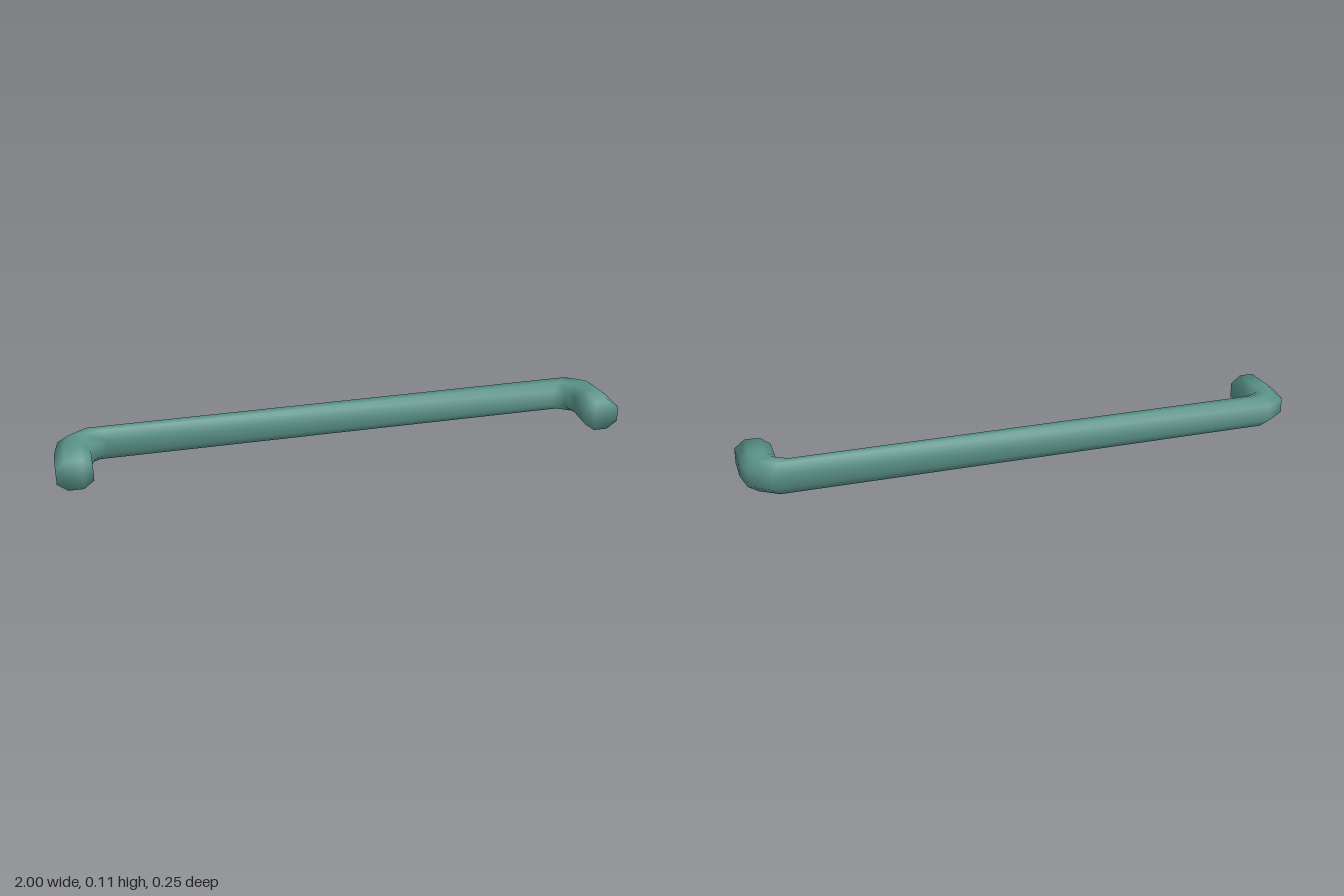
import * as THREE from 'three';

// Octagonal cross-section: [fraction from inner to outer edge, height]
const H = 0.111;
const SECTION = [
  [0.29, 0], [0.71, 0], [1, 0.028], [1, 0.083],
  [0.71, H], [0.29, H], [0, 0.083], [0, 0.028],
];

// Left half of the bend: inner [x, z] and outer [x, z] of each ring, from leg tip to bar
const BEND = [
  [0.877, 0.125, 1, 0.125],
  [0.877, 0.015, 1, 0.015],
  [0.862, -0.028, 0.985, -0.072],
  [0.82, -0.05, 0.91, -0.126],
];

function handleGeometry() {
  const mirrored = BEND.map(([a, b, c, d]) => [-a, b, -c, d]).reverse();
  const rings = [...BEND, ...mirrored];
  const n = SECTION.length;
  const positions = [];
  const index = [];

  for (const [ix, iz, ox, oz] of rings) {
    for (const [t, y] of SECTION) {
      positions.push(ix + (ox - ix) * t, y, iz + (oz - iz) * t);
    }
  }
  // Skin between neighbouring rings
  for (let r = 0; r < rings.length - 1; r++) {
    for (let i = 0; i < n; i++) {
      const a = r * n + i, b = r * n + (i + 1) % n;
      index.push(a, a + n, b, b, a + n, b + n);
    }
  }
  // Flat caps on the two leg tips, sharing the rim for soft shading
  const last = (rings.length - 1) * n;
  for (let i = 1; i < n - 1; i++) {
    index.push(0, i, i + 1);
    index.push(last, last + i + 1, last + i);
  }

  const geometry = new THREE.BufferGeometry();
  geometry.setAttribute('position', new THREE.Float32BufferAttribute(positions, 3));
  geometry.setIndex(index);
  geometry.computeVertexNormals();
  return geometry;
}

export function createModel() {
  const group = new THREE.Group();
  group.name = 'pullHandle';
  const material = new THREE.MeshStandardMaterial({ color: 0x5a9389 });

  // One continuous bar with a bent leg at each end
  const bar = new THREE.Mesh(handleGeometry(), material);
  bar.name = 'handleBar';
  group.add(bar);
  return group;
}
